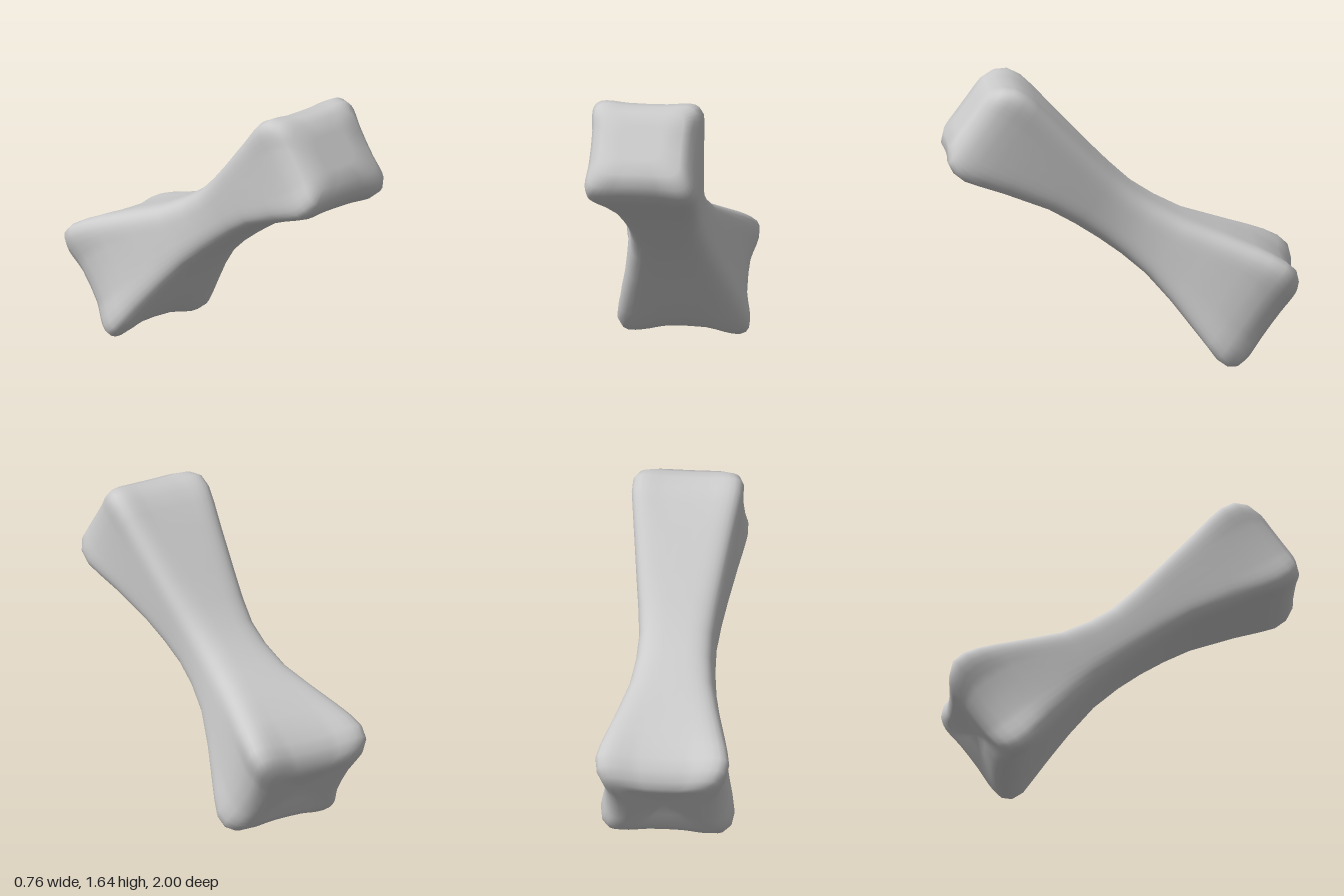
import * as THREE from 'three';
import { mergeVertices } from 'three/addons/utils/BufferGeometryUtils.js';

const SIDES = 48;

// Stations along the shaft, back to front:
// [distance, half width, top, bottom, groove depth, squareness exponent]
const STATIONS = [
  [-1.015, 0, 0.01, 0.01, 0, 0.6],
  [-1.025, 0.11, 0.11, -0.09, 0.06, 0.6],
  [-1.045, 0.22, 0.21, -0.19, 0.17, 0.55],
  [-1.042, 0.28, 0.26, -0.255, 0.21, 0.5],
  [-1.015, 0.335, 0.305, -0.303, 0.22, 0.5],
  [-0.965, 0.37, 0.348, -0.328, 0.22, 0.5],
  [-0.89, 0.382, 0.357, -0.328, 0.2, 0.5],
  [-0.8, 0.365, 0.345, -0.302, 0.17, 0.5],
  [-0.7, 0.34, 0.322, -0.274, 0.13, 0.52],
  [-0.5, 0.29, 0.268, -0.223, 0.08, 0.56],
  [-0.3, 0.247, 0.213, -0.185, 0.04, 0.6],
  [-0.12, 0.225, 0.188, -0.174, 0.02, 0.62],
  [0.04, 0.22, 0.179, -0.174, 0.02, 0.62],
  [0.2, 0.235, 0.194, -0.18, 0.03, 0.6],
  [0.38, 0.258, 0.218, -0.195, 0.05, 0.57],
  [0.65, 0.29, 0.261, -0.256, 0.08, 0.53],
  [0.8, 0.308, 0.285, -0.296, 0.11, 0.5],
  [0.89, 0.318, 0.295, -0.318, 0.13, 0.5],
  [0.97, 0.316, 0.282, -0.315, 0.14, 0.5],
  [1.03, 0.29, 0.238, -0.285, 0.14, 0.5],
  [1.07, 0.235, 0.178, -0.215, 0.1, 0.52],
  [1.072, 0.12, 0.08, -0.12, 0.03, 0.6],
  [1.068, 0, -0.02, -0.02, 0, 0.6],
];

// Four-lobed outline, scaled so that it just fills a square of half size 1
function outline(groove, power) {
  const soften = (c) => Math.sign(c) * Math.pow(Math.abs(c), power);
  const pts = [];
  let widest = 0;
  for (let j = 0; j < SIDES; j++) {
    const a = (j / SIDES) * Math.PI * 2;
    const f = 1 - groove * Math.cos(2 * a) ** 2;
    pts.push([soften(Math.cos(a)) * f, soften(Math.sin(a)) * f]);
    widest = Math.max(widest, Math.abs(pts[j][0]));
  }
  return pts.map(([x, v]) => [x / widest, v / widest]);
}

// Skin the stations along the z axis, ending in a pole at both ends
function boneGeometry() {
  const positions = [];
  const index = [];
  STATIONS.forEach(([u, w, top, bottom, groove, power], i) => {
    const mid = (top + bottom) / 2;
    const half = (top - bottom) / 2;
    for (const [x, v] of outline(groove, power)) positions.push(x * w, mid + v * half, u);
    if (i === 0) return;
    for (let j = 0; j < SIDES; j++) {
      const k = (j + 1) % SIDES;
      const a = (i - 1) * SIDES;
      const b = i * SIDES;
      if (i > 1) index.push(a + j, a + k, b + k);
      else index.push(a + j, b + k, b + j);
      if (i > 1 && i < STATIONS.length - 1) index.push(a + j, b + k, b + j);
    }
  });
  const geometry = new THREE.BufferGeometry();
  geometry.setAttribute('position', new THREE.Float32BufferAttribute(positions, 3));
  geometry.setIndex(index);
  const merged = mergeVertices(geometry, 1e-5);
  merged.computeVertexNormals();
  return merged;
}

export function createModel() {
  const model = new THREE.Group();
  model.name = 'bone';
  const bone = new THREE.Mesh(boneGeometry(), new THREE.MeshStandardMaterial({ color: 0xcccccc }));
  bone.name = 'boneShaftAndKnuckles';
  // Tilt so the front end rises
  bone.rotation.x = -Math.atan2(0.59, 0.81);
  bone.position.y = 0.85;
  model.add(bone);

  // Rest on the ground, centred
  model.updateMatrixWorld(true);
  const box = new THREE.Box3().setFromObject(model, true);
  bone.position.y -= box.min.y;
  bone.position.z -= (box.min.z + box.max.z) / 2;
  return model;
}
